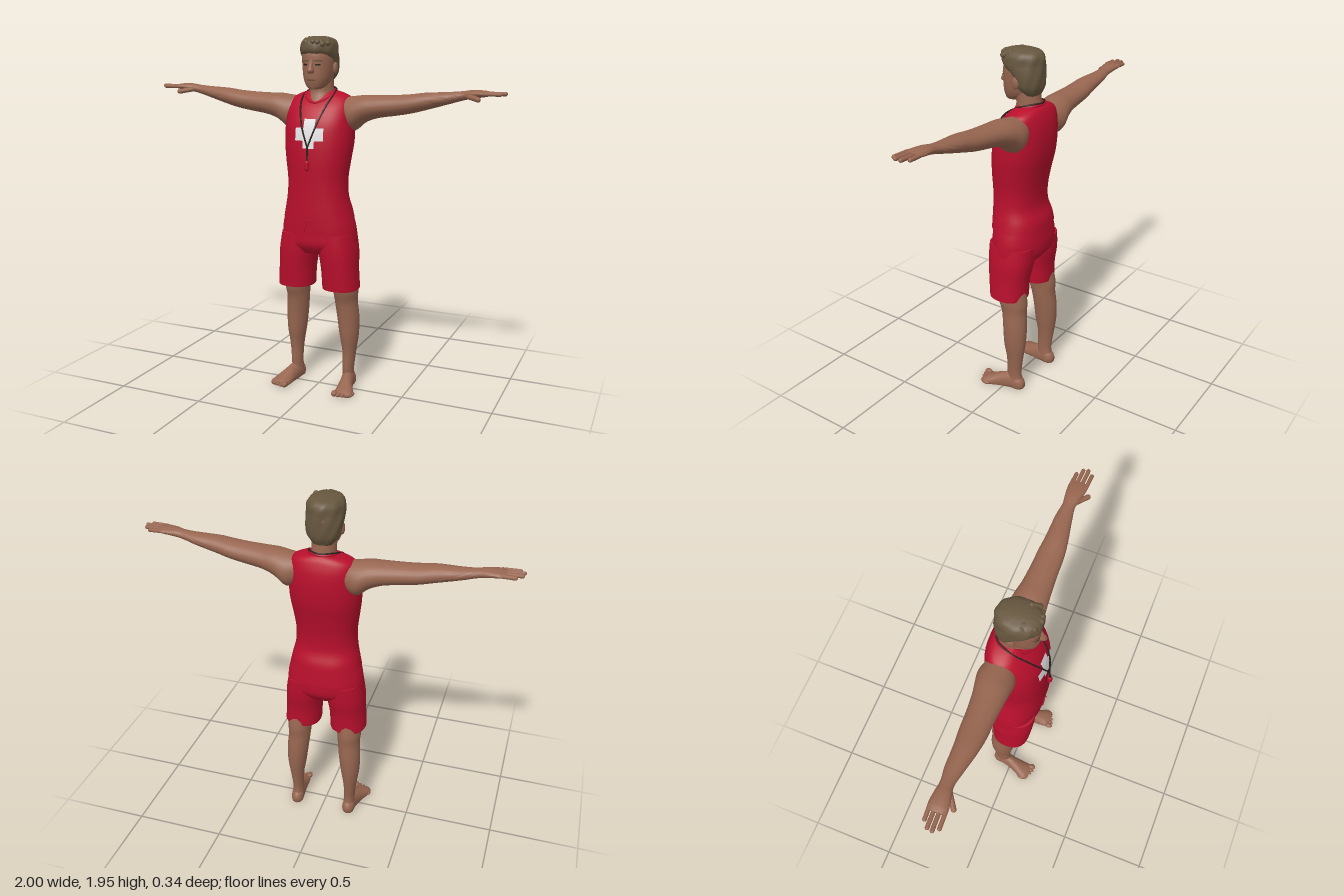
import * as THREE from 'three';
import { toCreasedNormals } from 'three/addons/utils/BufferGeometryUtils.js';

const material = (name, color, side = THREE.FrontSide) => {
  const m = new THREE.MeshStandardMaterial({ color, side });
  m.name = name;
  return m;
};

// Smoothly subdivide rows of [along, centreU, centreV, radiusU, radiusV]
function refine(rows, steps = 4) {
  const out = [], at = i => rows[Math.min(Math.max(i, 0), rows.length - 1)];
  for (let i = 0; i < rows.length - 1; i++) for (let s = 0; s < steps; s++) {
    const t = s / steps;
    out.push(rows[i].map((p1, k) => {
      const p0 = at(i - 1)[k], p2 = at(i + 1)[k], p3 = at(i + 2)[k];
      return p1 + 0.5 * t * (p2 - p0 + t * (2 * p0 - 5 * p1 + 4 * p2 - p3 + t * (3 * (p1 - p2) + p3 - p0)));
    }));
  }
  out.push(rows[rows.length - 1]);
  return out;
}

// Skin a closed, capped body over cross-sections along an axis
function loft(rows, { axis = 'y', n = 2, seg = 28, ripple = null, floor = false } = {}) {
  const rings = refine(rows), pos = [], idx = [];
  const put = (u, w, v) => {
    const p = axis === 'y' ? [u, w, v] : axis === 'x' ? [w, v, u] : [v, u, w];
    if (floor) p[1] = Math.max(p[1], 0);
    pos.push(...p);
  };
  const sq = c => Math.sign(c) * Math.abs(c) ** (2 / n);
  for (const [w, cu, cv, ru, rv] of rings) for (let j = 0; j < seg; j++) {
    const a = j / seg * Math.PI * 2, k = ripple ? ripple(a, w) : 1;
    put(cu + ru * k * sq(Math.cos(a)), w, cv + rv * k * sq(Math.sin(a)));
  }
  const last = rings.length - 1, base = rings.length * seg;
  for (const [w, cu, cv] of [rings[0], rings[last]]) put(cu, w, cv);
  for (let j = 0; j < seg; j++) {
    const k = (j + 1) % seg;
    for (let i = 0; i < last; i++) {
      const a = i * seg + j, b = i * seg + k;
      idx.push(a, a + seg, b, b, a + seg, b + seg);
    }
    idx.push(base, j, k, base + 1, last * seg + k, last * seg + j);
  }
  const g = new THREE.BufferGeometry();
  g.setAttribute('position', new THREE.Float32BufferAttribute(pos, 3));
  g.setIndex(idx);
  return toCreasedNormals(g, 1.0);
}

// Thin patch laid on the front of a lofted body
function patch(rows, n, x, y, w, h, off = 0.004) {
  const rings = refine(rows), g = new THREE.PlaneGeometry(w, h, 8, 8).translate(x, y, 0), p = g.attributes.position;
  for (let i = 0; i < p.count; i++) {
    const py = p.getY(i), k = Math.max(1, rings.findIndex(r => r[0] >= py));
    const a = rings[k - 1], b = rings[k], t = (py - a[0]) / (b[0] - a[0]);
    const [, , cz, rx, rz] = a.map((v, c) => v + (b[c] - v) * t);
    p.setZ(i, cz + rz * (1 - Math.min(1, Math.abs(p.getX(i)) / rx) ** n) ** (1 / n) + off);
  }
  g.computeVertexNormals();
  return g;
}

// Rounded rod between two points
function rod(a, b, r) {
  const A = new THREE.Vector3(...a), d = new THREE.Vector3(...b).sub(A), len = d.length();
  const g = new THREE.CapsuleGeometry(r, len, 5, 10).translate(0, len / 2, 0);
  g.applyQuaternion(new THREE.Quaternion().setFromUnitVectors(new THREE.Vector3(0, 1, 0), d.normalize()));
  return g.translate(...a).toNonIndexed();
}

const ball = (x, y, z, rx, ry, rz) =>
  new THREE.SphereGeometry(1, 16, 12).scale(rx, ry, rz).translate(x, y, z).toNonIndexed();

const tube = (pts, r, closed = false) =>
  new THREE.TubeGeometry(new THREE.CatmullRomCurve3(pts.map(p => new THREE.Vector3(...p)), closed), 48, r, 6, closed);

function mirror(g) {
  const m = g.clone().scale(-1, 1, 1), n = m.attributes.position.count;
  m.setIndex(Array.from({ length: n }, (_, i) => n - 1 - i));
  return m;
}

export function createModel() {
  const root = new THREE.Group();
  root.name = 'lifeguard';
  const skin = material('skin', 0x976650), red = material('red cloth', 0xb80f2c), hair = material('hair', 0x67573f);
  const white = material('white print', 0xe6e6e6, THREE.DoubleSide), dark = material('dark cord', 0x2a201d, THREE.DoubleSide);
  const lip = material('lips', 0x754a3a, THREE.DoubleSide);
  const add = (name, g, m) => {
    const mesh = new THREE.Mesh(g, m);
    mesh.name = name;
    root.add(mesh);
  };
  const pair = (name, g, m) => {
    add('left ' + name, g, m);
    add('right ' + name, mirror(g), m);
  };

  // Sleeveless shirt
  const torso = [[0.985, 0, -0.004, 0.197, 0.145], [1.04, 0, 0, 0.185, 0.141], [1.11, 0, 0.012, 0.17, 0.128],
    [1.2, 0, 0.012, 0.166, 0.129], [1.3, 0, 0.005, 0.178, 0.139], [1.4, 0, -0.008, 0.19, 0.148],
    [1.5, 0, -0.02, 0.19, 0.145], [1.58, 0, -0.037, 0.184, 0.122], [1.63, 0, -0.053, 0.165, 0.092],
    [1.655, 0, -0.06, 0.12, 0.073], [1.668, 0, -0.06, 0.075, 0.06]];
  add('shirt', loft(torso, { n: 2.3, seg: 40 }), red);
  add('collar', tube([[0, 1.607, 0.062], [0.062, 1.632, 0.03], [0.077, 1.663, -0.04], [0.055, 1.672, -0.095],
    [0, 1.674, -0.118], [-0.055, 1.672, -0.095], [-0.077, 1.663, -0.04], [-0.062, 1.632, 0.03]], 0.007, true), red);

  // Printed cross in three pieces
  add('cross upright', patch(torso, 2.3, 0, 1.45, 0.064, 0.155), white);
  for (const s of [-1, 1]) add('cross arm', patch(torso, 2.3, s * 0.056, 1.447, 0.048, 0.068), white);

  // Neck cord and whistle
  add('neck cord', tube([[0, 1.38, 0.157], [0.04, 1.49, 0.138], [0.075, 1.6, 0.072], [0.085, 1.655, -0.01], [0.06, 1.682, -0.09],
    [0, 1.684, -0.122], [-0.06, 1.682, -0.09], [-0.085, 1.655, -0.01], [-0.075, 1.6, 0.072], [-0.04, 1.49, 0.138],
    [0, 1.38, 0.157]], 0.0045), dark);
  add('cord end', rod([0, 1.38, 0.157], [0, 1.31, 0.162], 0.005), dark);
  add('whistle', rod([0, 1.3, 0.162], [0, 1.27, 0.162], 0.013), red);

  // Shorts
  add('shorts seat', loft([[0.79, 0, -0.005, 0.15, 0.1], [0.84, 0, -0.008, 0.21, 0.137], [0.9, 0, -0.01, 0.212, 0.143],
    [0.95, 0, -0.007, 0.205, 0.142], [1.0, 0, -0.004, 0.192, 0.14]], { n: 2.2, seg: 36 }), red);
  pair('shorts leg', loft([[0.59, 0.133, -0.002, 0.1, 0.104], [0.6, 0.133, -0.002, 0.101, 0.106], [0.7, 0.127, 0, 0.1, 0.114],
    [0.8, 0.117, -0.005, 0.106, 0.128], [0.9, 0.105, -0.008, 0.102, 0.132]], { n: 2.3 }), red);
  pair('drawstring', rod([0.008, 0.985, 0.144], [0.025, 0.925, 0.142], 0.004), red);

  // Legs and feet
  pair('leg', loft([[0.04, 0.16, -0.06, 0.034, 0.045], [0.1, 0.16, -0.052, 0.031, 0.044], [0.2, 0.163, -0.058, 0.038, 0.05],
    [0.3, 0.162, -0.057, 0.053, 0.065], [0.4, 0.157, -0.055, 0.061, 0.07], [0.5, 0.148, -0.045, 0.063, 0.073],
    [0.56, 0.147, -0.036, 0.068, 0.084], [0.65, 0.14, -0.02, 0.075, 0.085]]), skin);
  pair('foot', loft([[-0.115, 0.025, 0.16, 0.02, 0.016], [-0.09, 0.025, 0.16, 0.05, 0.034], [-0.04, 0.03, 0.163, 0.06, 0.036],
    [0.02, 0.02, 0.175, 0.055, 0.04], [0.08, 0.012, 0.19, 0.037, 0.052], [0.115, 0.01, 0.195, 0.025, 0.054],
    [0.135, 0.01, 0.192, 0.014, 0.045]], { axis: 'z', floor: true }), skin);
  for (let i = 0; i < 5; i++) {
    const r = i ? 0.0125 - i * 0.0006 : 0.017;
    pair('toe', ball(0.153 + i * 0.0225, r, 0.138 - i * i * 0.0025, r, r, 0.024), skin);
  }

  // Arms, palms and fingers
  pair('arm', loft([[0.12, -0.05, 1.56, 0.075, 0.075], [0.185, -0.05, 1.55, 0.096, 0.092], [0.25, -0.045, 1.577, 0.09, 0.073],
    [0.32, -0.04, 1.59, 0.08, 0.06], [0.42, -0.038, 1.6, 0.072, 0.054], [0.5, -0.037, 1.61, 0.069, 0.05],
    [0.58, -0.037, 1.625, 0.06, 0.045], [0.7, -0.045, 1.645, 0.045, 0.031], [0.77, -0.045, 1.658, 0.034, 0.024],
    [0.82, -0.042, 1.667, 0.042, 0.022], [0.88, -0.038, 1.671, 0.05, 0.017], [0.91, -0.037, 1.671, 0.045, 0.011]],
  { axis: 'x' }), skin);
  [0.955, 0.985, 0.99, 0.97].forEach((tip, i) => {
    const z = -0.076 + i * 0.026;
    pair('finger', rod([0.885, 1.672, z], [tip, 1.675 - Math.abs(i - 2) * 0.003, z + 0.004], 0.0105), skin);
  });
  pair('thumb', rod([0.8, 1.658, -0.02], [0.865, 1.645, 0.026], 0.0135), skin);

  // Neck, head and face
  add('neck', loft([[1.56, 0, -0.04, 0.07, 0.08], [1.6, 0, -0.033, 0.075, 0.093], [1.63, 0, -0.035, 0.073, 0.08],
    [1.67, 0, -0.04, 0.065, 0.067], [1.76, 0, -0.03, 0.065, 0.068]]), skin);
  const head = [[1.68, 0, 0.055, 0.028, 0.032], [1.695, 0, 0.036, 0.05, 0.058], [1.735, 0, 0.01, 0.072, 0.093],
    [1.8, 0, -0.005, 0.084, 0.108], [1.86, 0, -0.01, 0.086, 0.112], [1.92, 0, -0.01, 0.07, 0.09]];
  add('head', loft(head, { n: 2.2, seg: 32 }), skin);
  add('nose', loft([[1.762, 0, 0.1, 0.012, 0.018], [1.775, 0, 0.105, 0.018, 0.029], [1.805, 0, 0.1, 0.011, 0.021],
    [1.835, 0, 0.094, 0.009, 0.012]], { seg: 14 }), skin);
  pair('ear', ball(0.087, 1.79, -0.015, 0.013, 0.033, 0.021), skin);
  for (const s of [-1, 1]) {
    add('eyebrow', patch(head, 2.2, s * 0.037, 1.828, 0.042, 0.008), hair);
    add('eye', patch(head, 2.2, s * 0.036, 1.808, 0.026, 0.008), dark);
  }
  add('mouth', patch(head, 2.2, 0, 1.728, 0.045, 0.009), lip);

  // Short hair with a swept-up fringe
  add('hair', loft([[1.72, 0, -0.065, 0.052, 0.035], [1.76, 0, -0.052, 0.083, 0.067], [1.81, 0, -0.04, 0.094, 0.084],
    [1.85, 0, -0.02, 0.098, 0.104], [1.877, 0, -0.006, 0.098, 0.116], [1.915, 0, -0.005, 0.094, 0.114],
    [1.94, 0, -0.003, 0.076, 0.095], [1.953, 0, 0, 0.035, 0.05]],
  { seg: 44, ripple: (a, y) => 1 + 0.018 * Math.sin(9 * a + 45 * y) }), hair);
  for (let i = 0; i < 7; i++) {
    const x = (i - 3) * 0.023, lift = 0.006 * Math.sin(i * 2.3);
    add('fringe tuft', rod([x * 0.9, 1.936 + lift - x * x, 0.03], [x + 0.008, 1.922 + lift - x * x * 2, 0.098 - x * x * 7], 0.015), hair);
  }
  return root;
}
